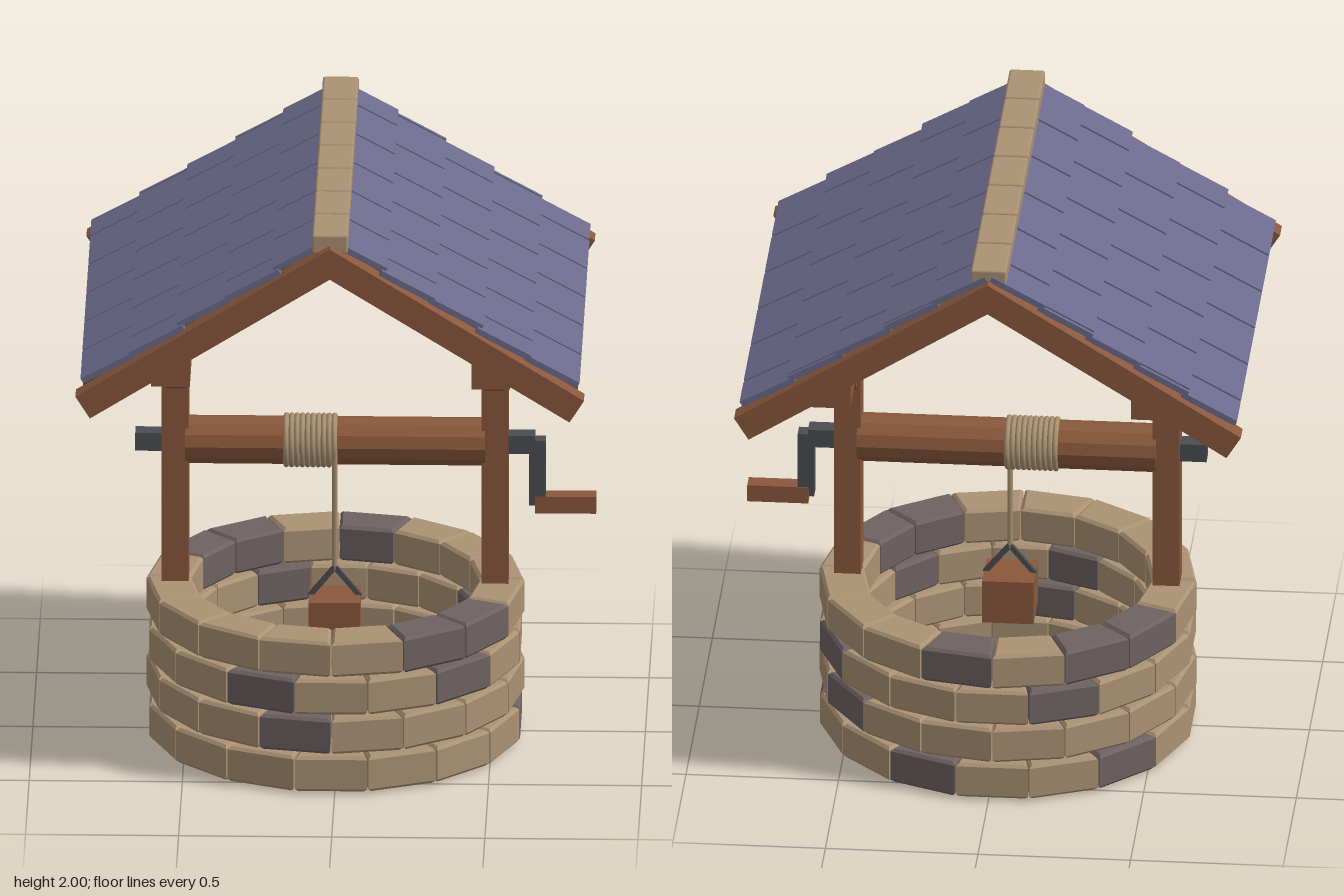
import * as THREE from 'three';
import { RoundedBoxGeometry } from 'three/addons/geometries/RoundedBoxGeometry.js';

const mat = (name, color) => Object.assign(new THREE.MeshStandardMaterial({ color }), { name });

export function createModel() {
  const wood = mat('wood', 0x8a583c);
  const darkWood = mat('darkWood', 0x54382a);
  const tan = mat('tanStone', 0xab9274);
  const grey = mat('greyStone', 0x6e6262);
  const slate = mat('slate', 0x6b6a8c);
  const iron = mat('iron', 0x4a4d52);
  const ropeMat = mat('rope', 0xa89070);

  const root = new THREE.Group();
  root.name = 'well';
  const body = new THREE.Group();
  body.name = 'wellBody';
  body.position.x = -0.012;
  root.add(body);

  const add = (name, geometry, material, x = 0, y = 0, z = 0, parent = body) => {
    const mesh = new THREE.Mesh(geometry, material);
    mesh.name = name;
    mesh.position.set(x, y, z);
    parent.add(mesh);
    return mesh;
  };
  const box = (name, material, w, h, d, x, y, z, parent) =>
    add(name, new THREE.BoxGeometry(w, h, d), material, x, y, z, parent);
  // Square bar from point a to point b
  const strut = (name, material, a, b, w, h) => {
    const from = new THREE.Vector3(...a), to = new THREE.Vector3(...b);
    const mesh = new THREE.Mesh(new THREE.BoxGeometry(w, h, from.distanceTo(to)), material);
    mesh.name = name;
    mesh.position.copy(from).add(to).multiplyScalar(0.5);
    mesh.lookAt(to);
    body.add(mesh);
  };

  // Stone ring: four staggered courses of sixteen bevelled wedges
  const COUNT = 16, STEP = (Math.PI * 2) / COUNT, B = 0.01;
  const wedge = new THREE.Shape();
  [[0.47, -1], [0.617, -1], [0.617, 1], [0.47, 1]].forEach(([r, side], i) => {
    const a = side * (STEP / 2 - 0.004);
    wedge[i ? 'lineTo' : 'moveTo'](r * Math.sin(a), -r * Math.cos(a));
  });
  const stone = new THREE.ExtrudeGeometry(wedge, {
    depth: 0.122 - 2 * B, bevelEnabled: true, bevelThickness: B, bevelSize: B, bevelOffset: -B, bevelSegments: 1,
  });
  stone.rotateX(-Math.PI / 2);
  const greyStones = [[4, 7, 10], [5, 15], [2, 5, 9, 15], [1, 2, 7, 9, 10]];
  greyStones.forEach((greys, row) => {
    for (let k = 0; k < COUNT; k++) {
      const m = add('stone', stone, greys.includes(k) ? grey : tan, 0, 0.008 + row * 0.134 + B, 0);
      m.rotation.y = (k + (row % 2 ? 0.5 : 0)) * STEP;
    }
  });

  // Posts, roof beams and diagonal braces
  for (const s of [-1, 1]) {
    box('post', wood, 0.088, 1.5, 0.106, s * 0.522, 0.75, 0);
    box('roofBeam', wood, 0.127, 0.105, 1.32, s * 0.523, 1.49, 0);
    for (const t of [-1, 1]) {
      strut('brace', wood, [s * 0.522, 1.21, 0], [s * 0.522, 1.475, t * 0.3], 0.064, 0.08);
    }
  }

  // Drum, axle and crank
  const drumGeo = new THREE.CylinderGeometry(0.08, 0.08, 0.98, 12).toNonIndexed();
  drumGeo.computeVertexNormals();
  drumGeo.rotateZ(Math.PI / 2);
  add('drum', drumGeo, wood, 0, 1.008, 0);
  box('axle', iron, 1.306, 0.062, 0.062, 0, 1.008, 0);
  box('crankArm', iron, 0.054, 0.225, 0.054, 0.66, 0.908, 0);
  box('crankHandle', wood, 0.2, 0.058, 0.06, 0.752, 0.799, 0);

  // Rope wound on the drum, hanging to the bucket
  const turn = new THREE.TorusGeometry(0.081, 0.0095, 8, 28);
  turn.rotateY(Math.PI / 2);
  for (let i = 0; i < 10; i++) add('ropeTurn', turn, ropeMat, -0.16 + i * 0.0175, 1.008, 0);
  add('hangingRope', new THREE.CylinderGeometry(0.009, 0.009, 0.43, 8), ropeMat, 0, 0.8, 0.076);
  for (const s of [-1, 1]) {
    strut('bucketHandle', iron, [0, 0.595, 0.076], [s * 0.082, 0.495, 0.076], 0.016, 0.016);
  }
  box('bucket', wood, 0.168, 0.15, 0.168, 0, 0.425, 0.076);

  // Roof slopes: deck, end boards and overlapping shingles
  const ANGLE = 0.56, HALF = 0.745, PITCH = 0.266, GAP = 0.012;
  for (const s of [-1, 1]) {
    const slope = new THREE.Group();
    slope.name = 'roofSlope';
    slope.position.y = 1.965;
    slope.rotation.z = -s * ANGLE;
    body.add(slope);
    box('roofDeck', darkWood, 0.955, 0.068, 1.43, s * 0.4775, -0.036, 0, slope);
    for (const t of [-1, 1]) {
      box('endBoard', wood, 0.98, 0.089, 0.068, s * 0.49, -0.0445, t * 0.744, slope);
    }
    for (let row = 0; row < 5; row++) {
      const end = 0.944 - row * 0.185;
      const first = (row % 2 ? -0.725 : -0.595) - PITCH;
      for (let z = first; z < HALF; z += PITCH) {
        const a = Math.max(z + GAP / 2, -HALF), b = Math.min(z + PITCH - GAP / 2, HALF);
        if (b - a < 0.01) continue;
        const tile = box('shingle', slate, 0.2, 0.02, b - a, s * (end - 0.1), 0.014, (a + b) / 2, slope);
        tile.rotation.z = s * 0.06;
      }
    }
  }

  // Ridge stones
  const ridge = new RoundedBoxGeometry(0.117, 0.065, 0.206, 1, 0.008);
  for (let i = -3; i <= 3; i++) add('ridgeStone', ridge, tan, 0, 1.9675, i * 0.2125);

  return root;
}
